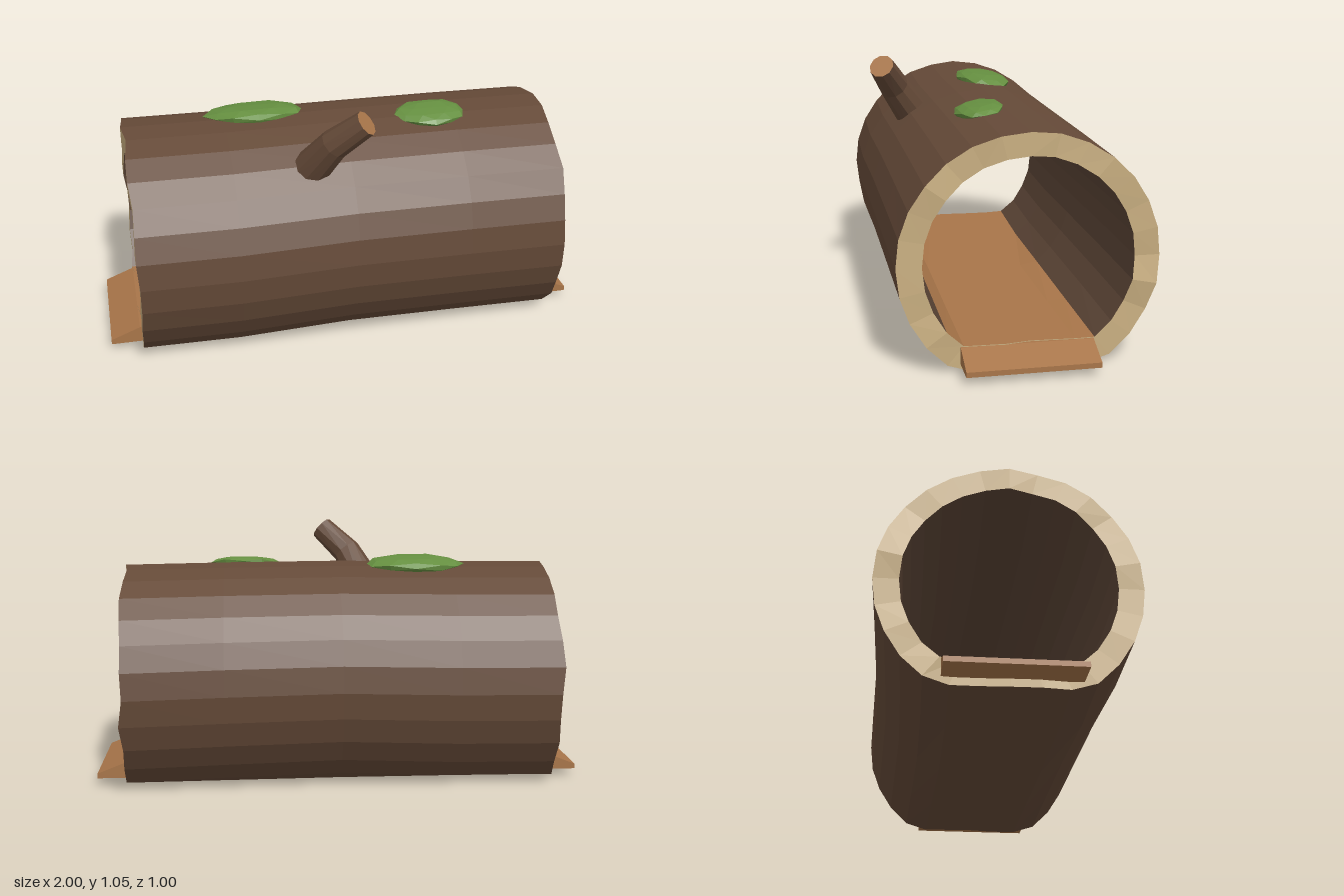
import * as THREE from 'three';

const mat = (name, color, flat = true) =>
  Object.assign(new THREE.MeshStandardMaterial({ color, flatShading: flat }), { name });

export function createModel() {
  const group = new THREE.Group();
  const bark = mat('bark', 0x654a38);
  const innerWood = mat('innerWood', 0x5c4536);
  const rimWood = mat('rimWood', 0xc8ae80);
  const plank = mat('plank', 0xa87549);
  const moss = mat('moss', 0x658f40);

  let seed = 7;
  const rand = () => (seed = (seed * 16807) % 2147483647) / 2147483647;

  const add = (name, geometry, material) => {
    const mesh = new THREE.Mesh(geometry, material);
    mesh.name = name;
    group.add(mesh);
    return mesh;
  };

  // Builds a flat shaded surface from a list of four-cornered faces
  const fromQuads = (quads) => {
    const pos = quads.flatMap(([a, b, c, d]) => [a, b, c, a, c, d].flat());
    const g = new THREE.BufferGeometry();
    g.setAttribute('position', new THREE.Float32BufferAttribute(pos, 3));
    g.computeVertexNormals();
    return g;
  };

  // Hollow log: slightly bent rings along x, flattened underneath and on the floor
  const SIDES = 28, FLOOR = 0.1;
  const rings = [ // x, y offset, z offset, radius change
    [-0.875, 0, -0.008, 0.002],
    [-0.47, 0.002, 0.003, 0.002],
    [0, 0.014, 0.005, -0.005],
    [0.47, 0.008, -0.002, -0.002],
    [0.875, 0, -0.008, 0],
  ];
  const jag = [0, 1].map(() => Array.from({ length: SIDES }, () => (rand() - 0.5) * 0.018));
  const point = (i, k, inner) => {
    const [x, dy, dz, dr] = rings[i];
    const a = (k % SIDES) / SIDES * Math.PI * 2;
    const r = (inner ? 0.395 : 0.49) + dr;
    const y = 0.405 + dy + (inner ? r : r - 0.008) * Math.cos(a);
    const end = i === 0 ? jag[0] : i === rings.length - 1 ? jag[1] : null;
    return [x + (end ? end[k % SIDES] : 0), Math.max(y, inner ? FLOOR : 0), dz + r * Math.sin(a)];
  };

  const outer = [], inside = [], floor = [], rims = [[], []];
  for (let k = 0; k < SIDES; k++) {
    for (let i = 0; i < rings.length - 1; i++) {
      const face = (inner) => [point(i, k, inner), point(i, k + 1, inner),
        point(i + 1, k + 1, inner), point(i + 1, k, inner)];
      outer.push(face(false));
      (k >= 10 && k <= 16 ? floor : inside).push(face(true).reverse());
    }
    [0, rings.length - 1].forEach((i, e) => {
      const q = [point(i, k, false), point(i, k + 1, false), point(i, k + 1, true), point(i, k, true)];
      rims[e].push(e ? q : q.reverse());
    });
  }
  add('logBark', fromQuads(outer), bark);
  add('logInside', fromQuads(inside), innerWood);
  add('logFloor', fromQuads(floor), plank);
  add('rightRim', fromQuads(rims[0]), rimWood);
  add('leftRim', fromQuads(rims[1]), rimWood);

  // Entrance ramps at both ends
  const profile = new THREE.Shape([[0.84, 0.03], [1, 0.03], [1, 0.05], [0.88, 0.097], [0.84, 0.097]]
    .map(([x, y]) => new THREE.Vector2(x, y)));
  const rampGeo = new THREE.ExtrudeGeometry(profile, { depth: 0.5, bevelEnabled: false });
  rampGeo.translate(0, 0, -0.25);
  add('leftRamp', rampGeo, plank);
  add('rightRamp', rampGeo, plank).rotation.y = Math.PI;

  // Bent branch stub made of three rings, with a cut end
  const N = 10;
  const centres = [[-0.175, 0.73, 0.255], [-0.08, 0.905, 0.372], [0.03, 1.008, 0.435]]
    .map((c) => new THREE.Vector3(...c));
  const radii = [0.08, 0.062, 0.052];
  const loops = centres.map((c, i) => {
    const dir = centres[Math.min(i + 1, 2)].clone().sub(centres[Math.max(i - 1, 0)]).normalize();
    const u = new THREE.Vector3(0, 0, 1).cross(dir).normalize();
    const v = dir.clone().cross(u);
    return Array.from({ length: N }, (_, k) => {
      const a = k / N * Math.PI * 2;
      return c.clone().addScaledVector(u, radii[i] * Math.cos(a))
        .addScaledVector(v, radii[i] * Math.sin(a)).toArray();
    });
  });
  const stub = [], cut = [];
  for (let k = 0; k < N; k++) {
    const n = (k + 1) % N;
    for (let i = 0; i < 2; i++) stub.push([loops[i][k], loops[i][n], loops[i + 1][n], loops[i + 1][k]]);
    if (k > 0 && k < N - 2 && k % 2) cut.push([loops[2][0], loops[2][k], loops[2][k + 1], loops[2][k + 2]]);
  }
  add('branch', fromQuads(stub), bark);
  add('branchCutEnd', fromQuads(cut), plank);

  // Moss patches: flattened, uneven blobs lying on the bark
  const patch = (name, centre, size, tilt) => {
    const g = new THREE.IcosahedronGeometry(1, 1);
    const p = g.attributes.position;
    for (let i = 0; i < p.count; i++) {
      const x = p.getX(i), y = p.getY(i), z = p.getZ(i);
      const s = 1 + 0.06 * Math.sin(5 * x + 3 * z + 2 * y);
      p.setXYZ(i, x * s, Math.min(y, 0.9), z * s);
    }
    g.scale(...size);
    g.computeVertexNormals();
    const mesh = add(name, g, moss);
    mesh.position.set(...centre);
    mesh.rotation.x = tilt;
  };
  patch('largeMoss', [-0.325, 0.887, -0.053], [0.208, 0.037, 0.118], -0.1);
  patch('smallMoss', [0.39, 0.882, 0.094], [0.15, 0.028, 0.097], 0.17);

  return group;
}
